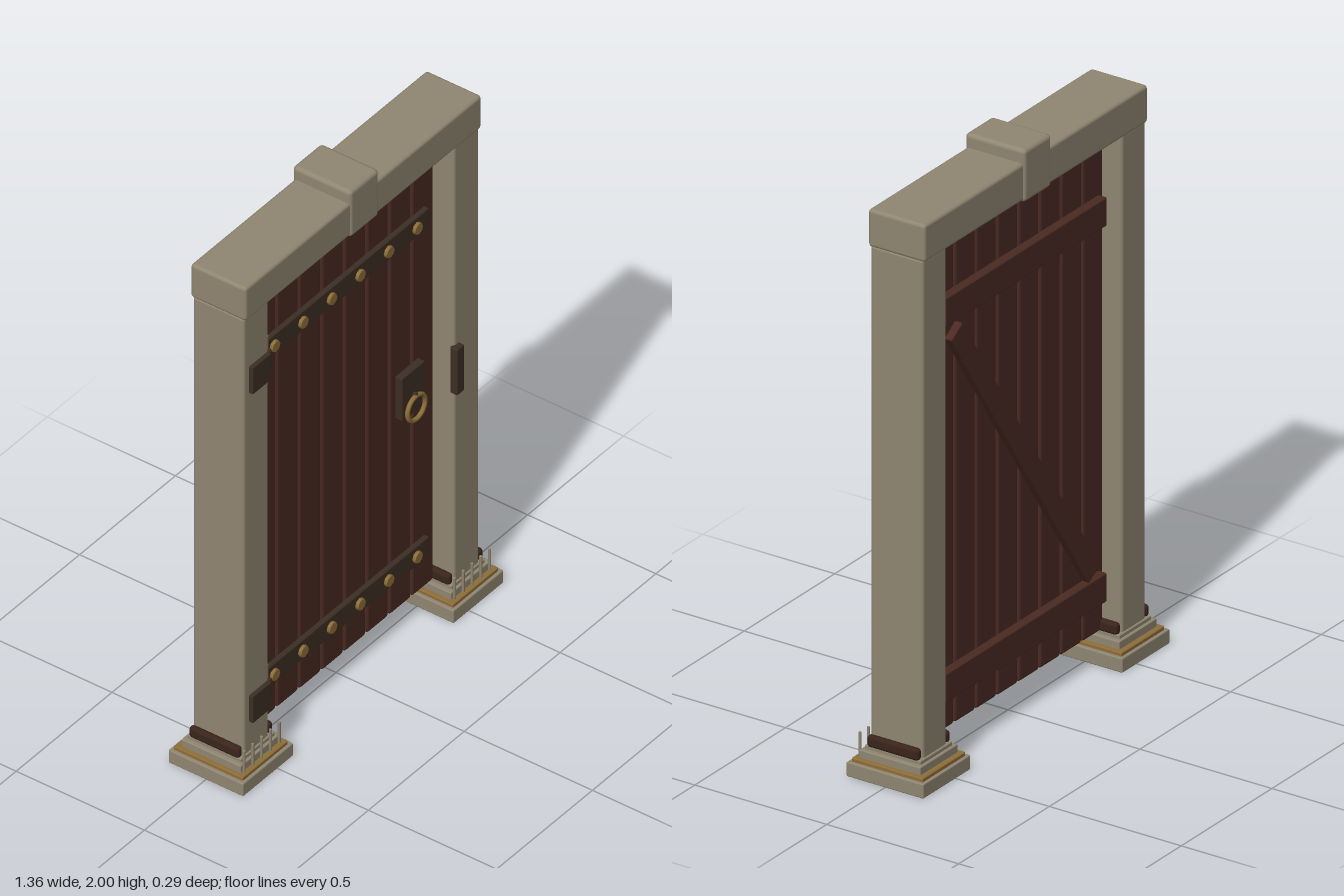
import * as THREE from 'three';
import { RoundedBoxGeometry } from 'three/addons/geometries/RoundedBoxGeometry.js';

const mat = (name, color) => {
  const m = new THREE.MeshStandardMaterial({ color });
  m.name = name;
  return m;
};

export function createModel() {
  const stone = mat('stone', 0x908672);
  const wood = mat('wood', 0x4a2a22);
  const darkWood = mat('dark wood', 0x3a241c);
  const iron = mat('iron', 0x3c2e24);
  const brass = mat('brass', 0x8e6e3a);

  const root = new THREE.Group();
  root.name = 'gate';

  const group = (name, parent = root) => {
    const g = new THREE.Group();
    g.name = name;
    parent.add(g);
    return g;
  };
  const add = (parent, name, geo, material, x, y, z) => {
    const m = new THREE.Mesh(geo, material);
    m.name = name;
    m.position.set(x, y, z);
    parent.add(m);
    return m;
  };
  // bevelled box given by its limits on each axis
  const box = (parent, name, material, [x0, x1], [y0, y1], [z0, z1], bevel = 0.005) =>
    add(parent, name, new RoundedBoxGeometry(x1 - x0, y1 - y0, z1 - z0, 2, bevel), material,
      (x0 + x1) / 2, (y0 + y1) / 2, (z0 + z1) / 2);

  // stone frame
  const frame = group('frame');
  box(frame, 'lintel', stone, [-0.617, 0.617], [1.822, 1.953], [-0.108, 0.108], 0.012);
  box(frame, 'keystone', stone, [-0.076, 0.076], [1.816, 2], [-0.115, 0.113], 0.015);

  // posts on stepped plinths
  for (const side of [-1, 1]) {
    const cx = side * 0.549;
    const post = group(side < 0 ? 'rightPost' : 'leftPost', frame);
    box(post, 'shaft', stone, [cx - 0.067, cx + 0.067], [0.08, 1.83], [-0.1, 0.1], 0.012);
    const tier = (name, material, hx, hz, y0, y1) =>
      box(post, name, material, [cx - hx, cx + hx], [y0, y1], [-hz, hz], 0.004);
    tier('plinth', stone, 0.131, 0.146, 0, 0.05);
    tier('brassBand', brass, 0.119, 0.135, 0.045, 0.063);
    tier('plinthStep', stone, 0.104, 0.116, 0.058, 0.09);
    tier('plinthCollar', stone, 0.088, 0.106, 0.085, 0.103);
    for (const s of [-1, 1]) {
      const x = cx + s * 0.079;
      box(post, 'sideStrip', darkWood, [x - 0.013, x + 0.013], [0.098, 0.14], [-0.098, 0.098], 0.012);
    }
    for (let i = -2; i <= 2; i++) {
      add(post, 'frontPin', new THREE.CylinderGeometry(0.005, 0.005, 0.085, 8), stone,
        cx + i * 0.046, 0.103, 0.12);
    }
  }

  // door planks
  const door = group('door');
  for (let i = 0; i < 8; i++) {
    const x = -0.419 + i * 0.1175;
    box(door, 'plank', wood, [x - 0.056, x + 0.056], [0.1, 1.79], [-0.035, 0.038], 0.01);
  }

  // rails and diagonal brace on the back
  for (const y of [0.265, 1.568]) {
    box(door, 'backRail', wood, [-0.45, 0.44], [y - 0.05, y + 0.05], [-0.067, -0.033]);
  }
  const from = new THREE.Vector2(-0.388, 0.333);
  const to = new THREE.Vector2(0.372, 1.477);
  const run = to.clone().sub(from);
  const brace = add(door, 'diagonalBrace', new RoundedBoxGeometry(run.length(), 0.073, 0.03, 2, 0.005),
    wood, (from.x + to.x) / 2, (from.y + to.y) / 2, -0.048);
  brace.rotation.z = run.angle();

  // strap hinges with rivets
  for (const y of [0.27, 1.572]) {
    const hinge = group('hinge');
    box(hinge, 'strap', iron, [-0.465, 0.412], [y - 0.038, y + 0.038], [0.035, 0.056], 0.004);
    box(hinge, 'postPlate', iron, [-0.587, -0.49], [y - 0.053, y + 0.053], [0.095, 0.115], 0.004);
    box(hinge, 'knuckle', iron, [-0.492, -0.459], [y - 0.045, y + 0.045], [0.045, 0.1], 0.012);
    add(hinge, 'hingePin', new THREE.CylinderGeometry(0.009, 0.009, 0.185, 10), brass, -0.472, y, 0.078);
    for (let i = 0; i < 6; i++) {
      const rivet = add(hinge, 'rivet', new THREE.CylinderGeometry(0.02, 0.022, 0.012, 8), brass,
        -0.4 + i * 0.149, y, 0.061);
      rivet.rotation.x = Math.PI / 2;
    }
  }

  // ring handle and strike plate
  const handle = group('handle');
  box(handle, 'handlePlate', iron, [0.26, 0.38], [0.86, 1.028], [0.035, 0.064], 0.004);
  add(handle, 'handleRing', new THREE.TorusGeometry(0.046, 0.008, 8, 28), brass, 0.32, 0.885, 0.074);
  add(handle, 'ringBoss', new THREE.SphereGeometry(0.011, 12, 8), iron, 0.32, 0.932, 0.07);
  box(root, 'strikePlate', iron, [0.472, 0.511], [0.855, 1.038], [0.09, 0.12], 0.006);

  return root;
}
